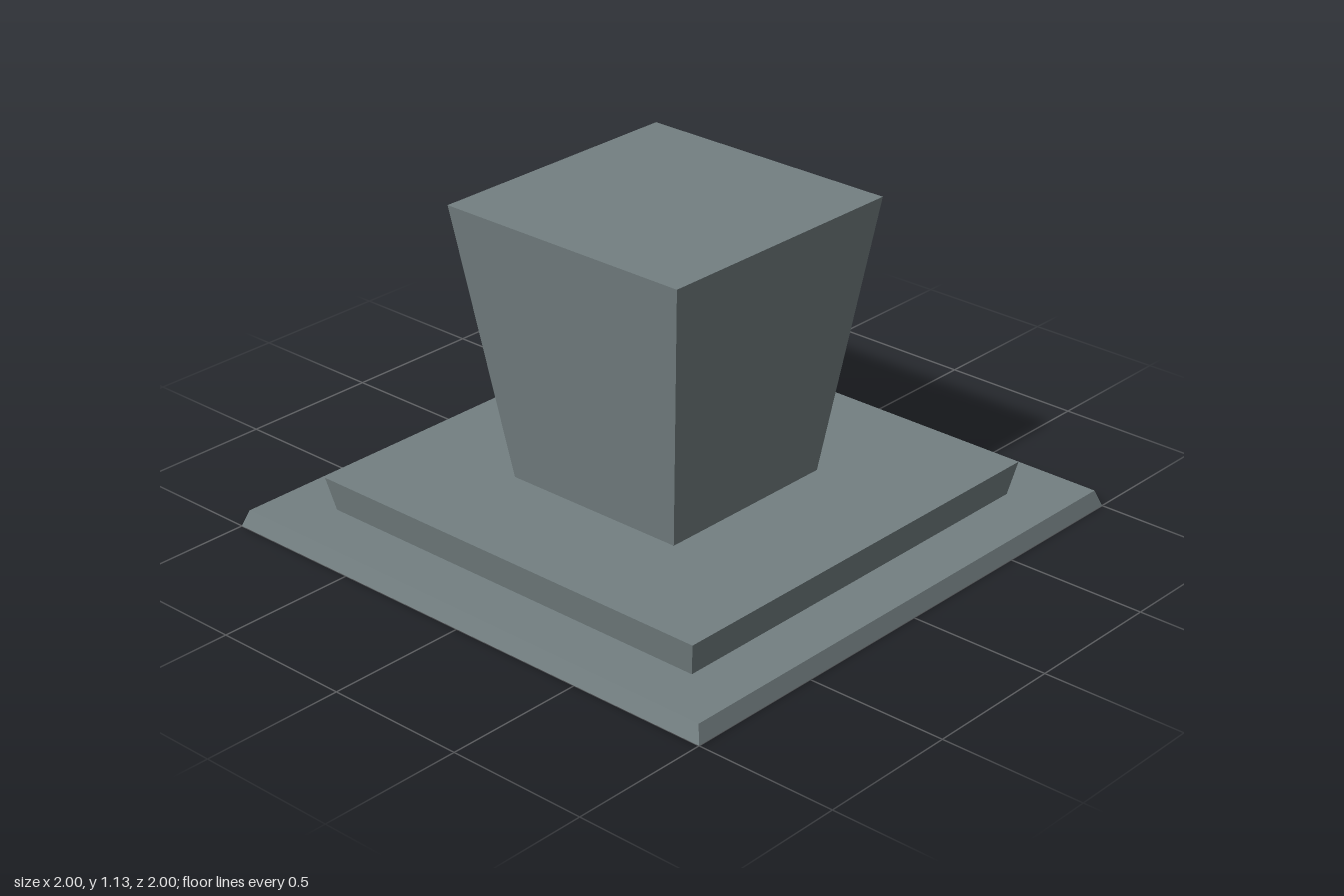
import * as THREE from 'three';

// Square tapered block; the bottom face can be left out to make a hollow shell
function taperedBlock(name, material, { y0, y1, bottom, top, x = 0, z = 0, open = false }) {
  const geometry = new THREE.BoxGeometry(1, 1, 1);
  const p = geometry.attributes.position;
  for (let i = 0; i < p.count; i++) {
    const upper = p.getY(i) > 0;
    const width = upper ? top : bottom;
    p.setXYZ(i, x + p.getX(i) * width, upper ? y1 : y0, z + p.getZ(i) * width);
  }
  if (open) {
    // Box faces run +x, -x, +y, -y, +z, -z with six indices each
    const index = Array.from(geometry.index.array);
    index.splice(18, 6);
    geometry.setIndex(index);
    geometry.clearGroups();
  }
  geometry.computeVertexNormals();
  const mesh = new THREE.Mesh(geometry, material);
  mesh.name = name;
  return mesh;
}

export function createModel() {
  const model = new THREE.Group();
  model.name = 'pedestal';

  const stone = new THREE.MeshStandardMaterial({ color: 0x748082, side: THREE.DoubleSide });
  stone.name = 'grey stone';

  model.add(
    // Thin spreading base, hollow underneath
    taperedBlock('basePlate', stone, { y0: 0, y1: 0.057, bottom: 2, top: 1.96, open: true }),
    // Middle step, sunk slightly into the base
    taperedBlock('middleStep', stone, { y0: 0.052, y1: 0.175, bottom: 1.55, top: 1.6, x: 0.004, z: 0.01 }),
    // Tall block flaring upwards, a little forward of centre
    taperedBlock('pillar', stone, { y0: 0.175, y1: 1.133, bottom: 0.695, top: 0.963, x: 0.004, z: 0.045 }),
  );
  return model;
}
